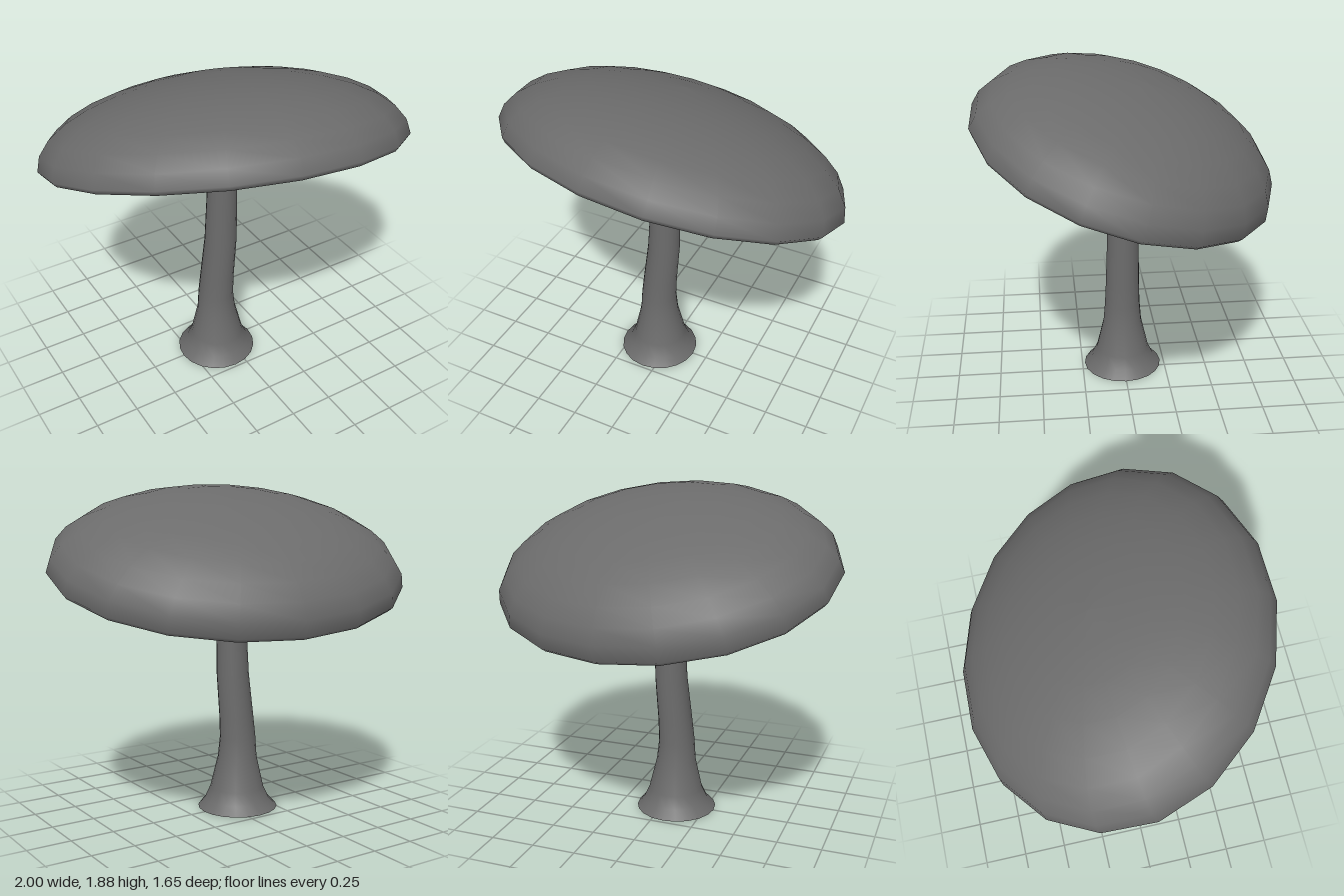
import * as THREE from 'three';

const material = new THREE.MeshStandardMaterial({ color: 0x6b6b6b });
const points = (list) => list.map(([r, y]) => new THREE.Vector2(r, y));

function addMesh(parent, name, geometry) {
  const mesh = new THREE.Mesh(geometry, material);
  mesh.name = name;
  parent.add(mesh);
  return mesh;
}

// Tilted oval cap: unit-radius lathes squashed and leaned by one matrix
function createCap() {
  const cap = new THREE.Group();
  cap.name = 'cap';
  const sides = 18;
  const across = new THREE.Vector3(1, -0.09, 0.01);
  const forward = new THREE.Vector3(0.10, 0.265, 0.833);
  const up = new THREE.Vector3().crossVectors(forward, across).normalize();
  const lean = new THREE.Matrix4()
    .makeBasis(forward.clone().negate(), up, across)
    .setPosition(0, 1.4, 0);

  // Dome with its edge curling under
  const dome = [[0.948, -0.03], [0.98, -0.024]];
  const rings = 8;
  for (let i = 0; i <= rings; i++) {
    const t = (i / rings) * Math.PI / 2;
    dome.push([i === rings ? 0 : Math.cos(t), 0.412 * Math.sin(t)]);
  }
  addMesh(cap, 'dome', new THREE.LatheGeometry(points(dome), sides).applyMatrix4(lean));

  // Inner wall of the rim and the flat underside
  const wall = [[0.93, -0.008], [0.948, -0.03]];
  addMesh(cap, 'innerRim', new THREE.LatheGeometry(points(wall), sides).applyMatrix4(lean));
  const under = [[0, -0.008], [0.93, -0.008]];
  addMesh(cap, 'underside', new THREE.LatheGeometry(points(under), sides).applyMatrix4(lean));
  return cap;
}

// Bent stem: [radius, height, sideways shift of the centre]
function createStem() {
  const stem = new THREE.Group();
  stem.name = 'stem';
  const sections = [
    [0.232, 0, -0.07], [0.188, 0.05, -0.066], [0.156, 0.12, -0.065], [0.114, 0.3, -0.068],
    [0.104, 0.42, -0.071], [0.099, 0.55, -0.061], [0.093, 0.8, -0.036],
    [0.086, 1.1, -0.026], [0.079, 1.36, -0.019], [0.076, 1.46, -0.018],
  ];
  const sides = 20;
  const geometry = new THREE.LatheGeometry(points(sections), sides);
  const position = geometry.attributes.position;
  for (let i = 0; i < position.count; i++) {
    position.setX(i, position.getX(i) + sections[i % sections.length][2]);
  }
  addMesh(stem, 'stalk', geometry);

  // Flat foot
  const foot = addMesh(stem, 'foot', new THREE.CircleGeometry(0.232, sides));
  foot.rotation.x = Math.PI / 2;
  foot.position.x = -0.07;
  stem.position.z = 0.003;
  return stem;
}

export function createModel() {
  const model = new THREE.Group();
  model.name = 'mushroom';
  model.add(createCap(), createStem());
  return model;
}
